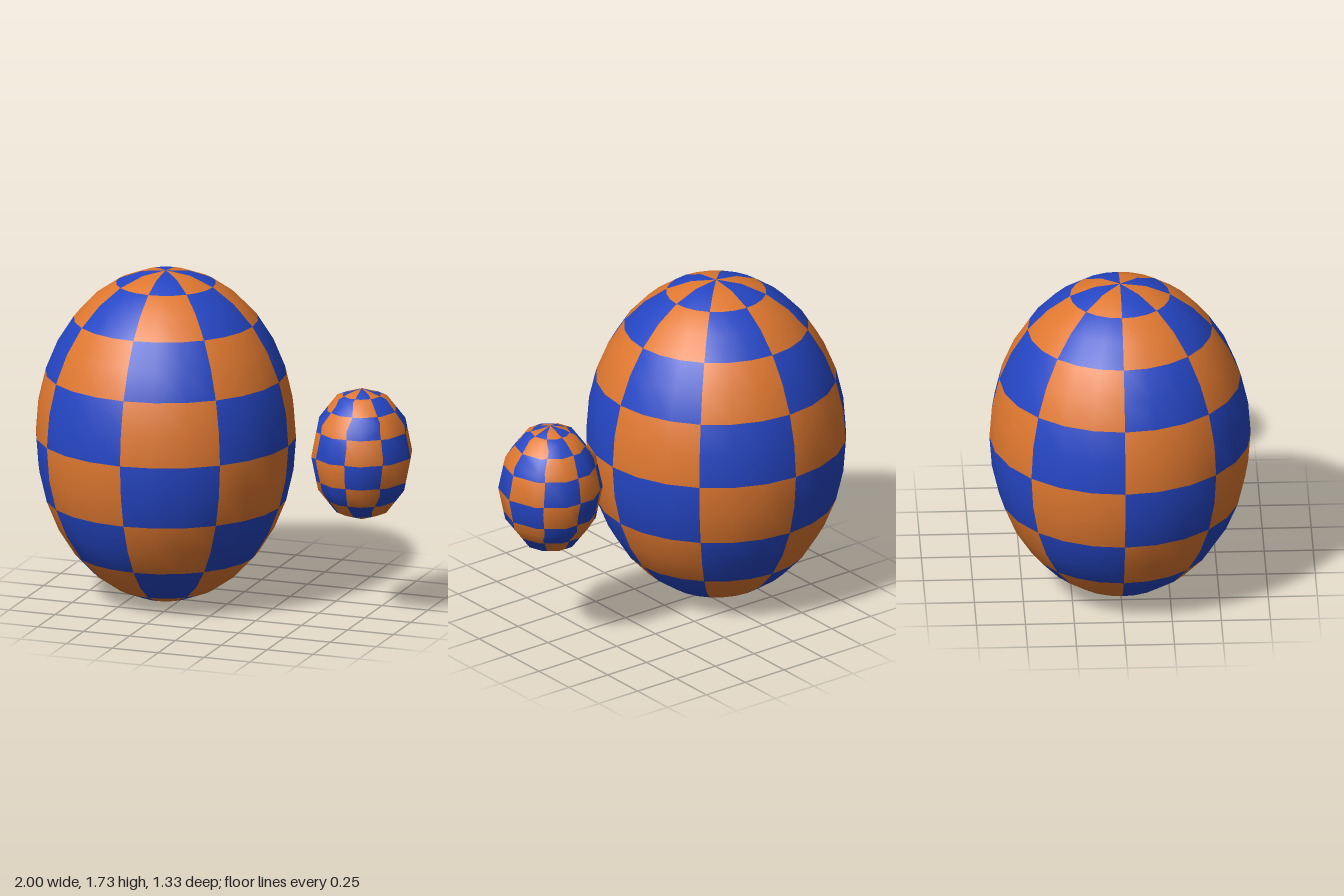
import * as THREE from 'three';

const CHECKS = 8; // squares around and from pole to pole

// Keep the part of a polygon of [x, y, z, u, v] corners where sign * (corner[axis] - limit) >= 0
function clip(poly, axis, limit, sign) {
  const out = [];
  poly.forEach((a, i) => {
    const b = poly[(i + 1) % poly.length];
    const da = sign * (a[axis] - limit);
    const db = sign * (b[axis] - limit);
    if (da >= 0) out.push(a);
    if ((da > 0 && db < 0) || (da < 0 && db > 0)) {
      const t = da / (da - db);
      out.push(a.map((value, k) => value + (b[k] - value) * t));
    }
  });
  return out;
}

function uvArea(poly) {
  return Math.abs(poly.reduce((sum, a, i) => {
    const b = poly[(i + 1) % poly.length];
    return sum + a[3] * b[4] - b[3] * a[4];
  }, 0)) / 2;
}

// Unit sphere whose facets are cut along the checks, one geometry group per colour
function checkeredSphere(around, rows) {
  const ball = new THREE.SphereGeometry(1, around, rows);
  const { position, uv } = ball.attributes;
  const corner = (i) => [position.getX(i), position.getY(i), position.getZ(i), uv.getX(i) * CHECKS, uv.getY(i) * CHECKS];
  const faces = [[], []];
  const index = ball.index.array;
  for (let f = 0; f < index.length; f += 3) {
    const tri = [corner(index[f]), corner(index[f + 1]), corner(index[f + 2])];
    const us = tri.map((c) => c[3]);
    const vs = tri.map((c) => c[4]);
    for (let i = Math.floor(Math.min(...us)); i < Math.max(...us); i++) {
      for (let j = Math.floor(Math.min(...vs)); j < Math.max(...vs); j++) {
        let poly = clip(clip(tri, 3, i, 1), 3, i + 1, -1);
        poly = clip(clip(poly, 4, j, 1), 4, j + 1, -1);
        if (poly.length < 3 || uvArea(poly) < 1e-5) continue;
        const target = faces[Math.abs(i + j) % 2];
        for (let k = 1; k < poly.length - 1; k++) {
          for (const c of [poly[0], poly[k], poly[k + 1]]) target.push(c[0], c[1], c[2]);
        }
      }
    }
  }
  const points = [...faces[0], ...faces[1]];
  const geometry = new THREE.BufferGeometry();
  geometry.setAttribute('position', new THREE.Float32BufferAttribute(points, 3));
  // On a unit sphere the position is also the smooth normal
  geometry.setAttribute('normal', new THREE.Float32BufferAttribute(points, 3));
  geometry.normalizeNormals();
  geometry.addGroup(0, faces[0].length / 3, 0);
  geometry.addGroup(faces[0].length / 3, faces[1].length / 3, 1);
  return geometry;
}

export function createModel() {
  const orange = new THREE.MeshStandardMaterial({ name: 'orange', color: 0xe07830 });
  const blue = new THREE.MeshStandardMaterial({ name: 'blue', color: 0x2546c4 });
  const group = new THREE.Group();
  group.name = 'checkeredEggs';

  function addEgg(name, x, radius, around, rows) {
    const egg = new THREE.Mesh(checkeredSphere(around, rows), [orange, blue]);
    egg.name = name;
    egg.position.set(x, 0.8667, 0);
    egg.scale.set(radius, radius * 1.3, radius);
    group.add(egg);
  }

  // Large smooth egg and a coarser small one beside it
  addEgg('largeEgg', -0.3333, 0.6667, 24, 16);
  addEgg('smallEgg', 0.7333, 0.2667, 10, 6);
  return group;
}
